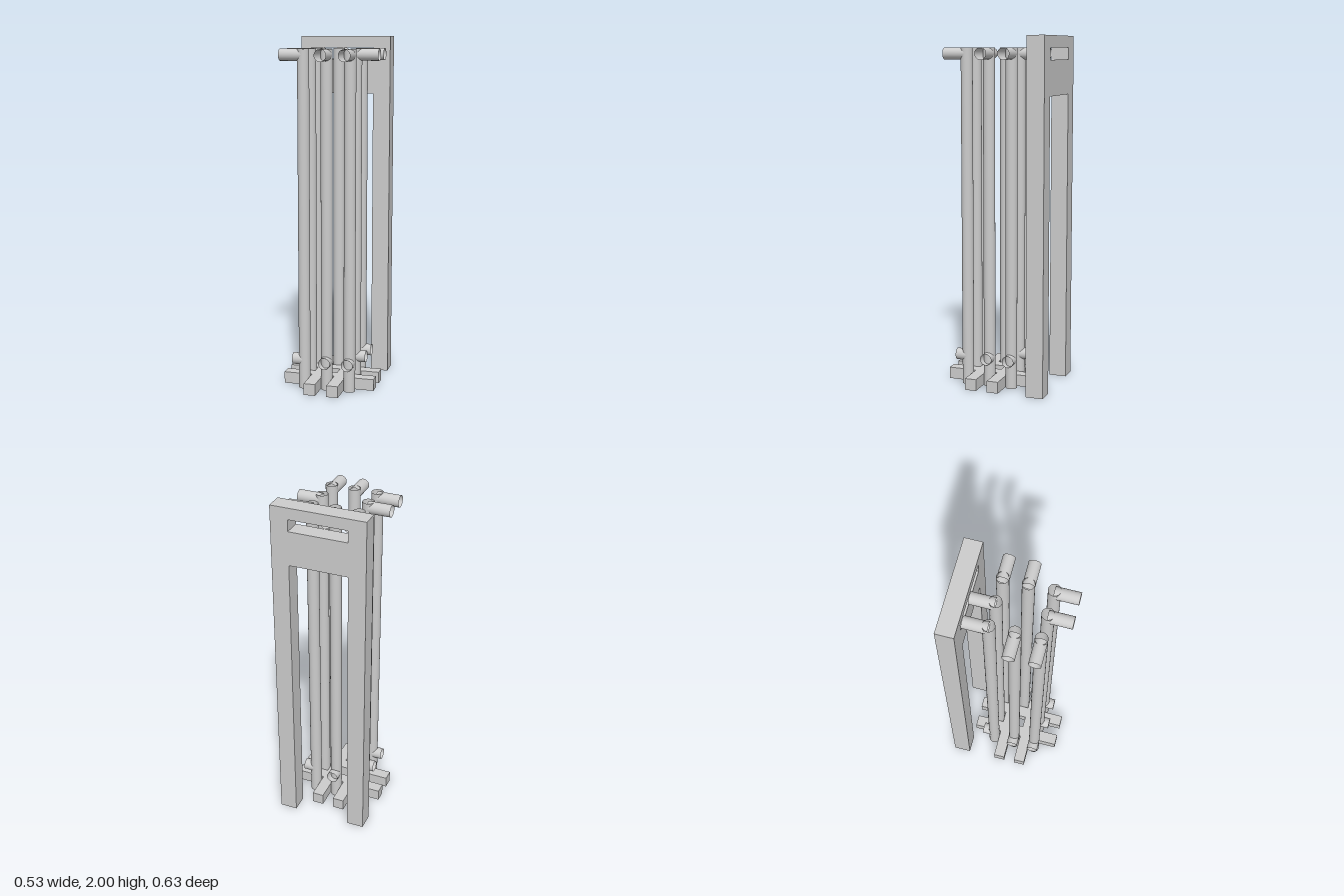
import * as THREE from 'three';

const STEP = 0.1333;          // spacing of the pole grid
const R = STEP / 4;           // tube radius; bars are 2R wide
const MID_Z = 0.0495;         // centre of the pole grid
const POLE_H = 1.935;

export function createModel() {
  // Double sided because the tubes are open at both ends
  const grey = new THREE.MeshStandardMaterial({ color: 0xcccccc, side: THREE.DoubleSide });
  grey.name = 'light grey';
  const model = new THREE.Group();
  model.name = 'poleRack';

  const add = (name, geometry, parent = model) => {
    const mesh = new THREE.Mesh(geometry, grey);
    mesh.name = name;
    parent.add(mesh);
    return mesh;
  };

  // Open-ended tube running along +y from its origin
  const tube = (length) =>
    new THREE.CylinderGeometry(R, R, length, 32, 1, true).translate(0, length / 2, 0);

  // Back frame: two legs joined by a slotted panel
  const outline = new THREE.Shape([
    [-0.2667, 0], [-0.1667, 0], [-0.1667, 1.672], [0.1667, 1.672],
    [0.1667, 0], [0.2667, 0], [0.2667, 2], [-0.2667, 2],
  ].map(([x, y]) => new THREE.Vector2(x, y)));
  outline.holes.push(new THREE.Path([
    [-0.1667, 1.868], [-0.1667, 1.935], [0.1667, 1.935], [0.1667, 1.868],
  ].map(([x, y]) => new THREE.Vector2(x, y))));
  add('backFrame', new THREE.ExtrudeGeometry(outline, { depth: 0.1, bevelEnabled: false }))
    .position.z = -0.3175;

  // Base: two pairs of crossing bars
  for (const side of [-1, 1]) {
    const offset = side * STEP / 2;
    add('baseCrossBar', new THREE.BoxGeometry(4 * STEP, 2 * R, 2 * R))
      .position.set(0, R, MID_Z + offset);
    add('baseLongBar', new THREE.BoxGeometry(2 * R, 2 * R, 4 * STEP))
      .position.set(offset, R, MID_Z);
  }

  // Eight poles around an empty centre; arms turn outward like a pinwheel
  // Each entry: grid column, grid row, arm direction x, arm direction z
  const poles = [
    [-1, -1, 0, -1], [0, -1, 0, -1],
    [1, -1, 1, 0], [1, 0, 1, 0],
    [1, 1, 0, 1], [0, 1, 0, 1],
    [-1, 1, -1, 0], [-1, 0, -1, 0],
  ];
  const up = new THREE.Vector3(0, 1, 0);
  for (const [col, row, dx, dz] of poles) {
    const pole = new THREE.Group();
    pole.name = 'poleWithArms';
    pole.position.set(col * STEP, 0, MID_Z + row * STEP);
    model.add(pole);
    add('pole', tube(POLE_H), pole);

    const direction = new THREE.Vector3(dx, 0, dz);
    const arms = [['topArm', STEP, POLE_H - R], ['lowerStub', STEP / 2, 0.168]];
    for (const [name, length, y] of arms) {
      const arm = add(name, tube(length), pole);
      arm.position.y = y;
      arm.quaternion.setFromUnitVectors(up, direction);
    }
  }
  return model;
}
